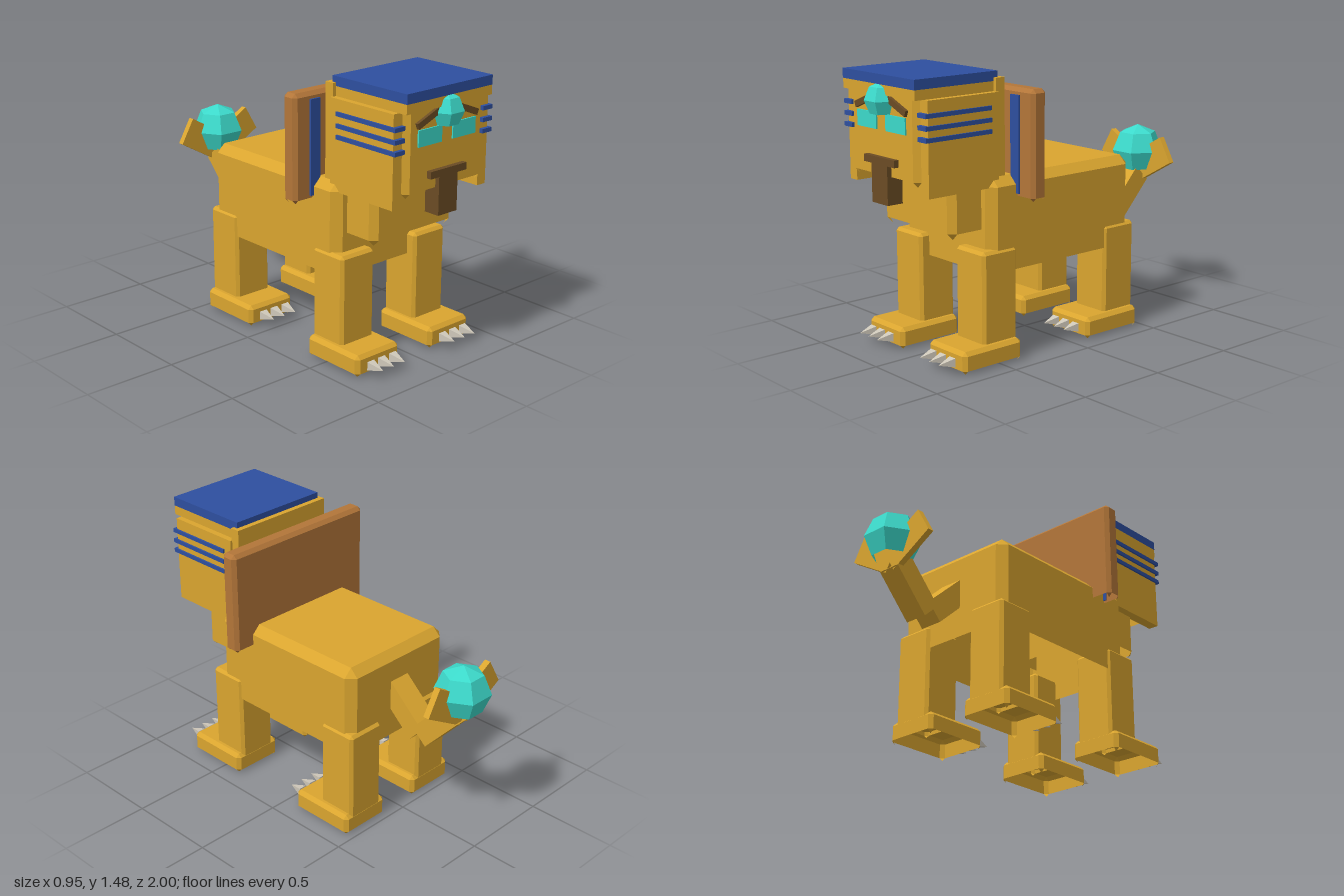
import * as THREE from 'three';

const mat = (name, color) => {
  const m = new THREE.MeshStandardMaterial({ color, side: THREE.DoubleSide, flatShading: true });
  m.name = name;
  return m;
};

// Chamfered box whose underside is open: no bottom face or bottom edge strips
function chamferBox(w, h, d, c) {
  const half = [w / 2, h / 2, d / 2];
  const pos = [];
  // Corner point lying on the face across the given axis
  const pt = (s, axis) => new THREE.Vector3(...s.map((v, i) => v * (half[i] - (i === axis ? 0 : c))));
  const tri = (a, b, e) => {
    const n = b.clone().sub(a).cross(e.clone().sub(a));
    const out = n.dot(a.clone().add(b).add(e)) > 0;
    for (const p of out ? [a, b, e] : [a, e, b]) pos.push(p.x, p.y, p.z);
  };
  const quad = (a, b, e, f) => { tri(a, b, e); tri(a, e, f); };
  const at = (i, a, j, b, k, e) => { const s = []; s[i] = a; s[j] = b; s[k] = e; return s; };
  for (let i = 0; i < 3; i++) {
    const j = (i + 1) % 3, k = (i + 2) % 3;
    for (const a of [-1, 1]) {
      // Main faces
      if (!(i === 1 && a < 0)) {
        quad(...[[-1, -1], [1, -1], [1, 1], [-1, 1]].map(([b, e]) => pt(at(i, a, j, b, k, e), i)));
      }
      // Edge strips running along axis k
      for (const b of [-1, 1]) {
        if ((i === 1 && a < 0) || (j === 1 && b < 0)) continue;
        const lo = at(i, a, j, b, k, -1), hi = at(i, a, j, b, k, 1);
        quad(pt(lo, i), pt(hi, i), pt(hi, j), pt(lo, j));
      }
    }
  }
  // Corner triangles
  for (const x of [-1, 1]) for (const y of [-1, 1]) for (const z of [-1, 1]) {
    const s = [x, y, z];
    tri(pt(s, 0), pt(s, 1), pt(s, 2));
  }
  const g = new THREE.BufferGeometry();
  g.setAttribute('position', new THREE.Float32BufferAttribute(pos, 3));
  g.computeVertexNormals();
  return g;
}

export function createModel() {
  const root = new THREE.Group();
  root.name = 'lionStatue';
  const gold = mat('gold', 0xdaa52f);
  const brown = mat('brown', 0xb37639);
  const darkBrown = mat('darkBrown', 0x6b4c24);
  const blue = mat('blue', 0x2e4f9f);
  const teal = mat('turquoise', 0x3cdacb);
  const bone = mat('bone', 0xcfc8ba);

  const add = (name, geo, m, x, y, z) => {
    const mesh = new THREE.Mesh(geo, m);
    mesh.name = name;
    mesh.position.set(x, y, z);
    root.add(mesh);
    return mesh;
  };
  // Box by its limits; a chamfer makes it an open-bottomed chamfered box
  const box = (name, m, x0, x1, y0, y1, z0, z1, c = 0) => {
    const size = [x1 - x0, y1 - y0, z1 - z0];
    const geo = c ? chamferBox(...size, c) : new THREE.BoxGeometry(...size);
    return add(name, geo, m, (x0 + x1) / 2, (y0 + y1) / 2, (z0 + z1) / 2);
  };
  // Six-sided gem without its lowest cap
  const gem = (name, r, y, z) =>
    add(name, new THREE.SphereGeometry(r, 6, 3, 0, Math.PI * 2, 0, Math.PI * 0.75), teal, 0, y, z);

  // Body, neck and head
  box('body', gold, -0.36, 0.36, 0.425, 0.955, -0.45, 0.54, 0.046);
  box('neck', gold, -0.285, 0.285, 0.655, 1.24, 0.39, 0.73, 0.035);
  box('head', gold, -0.27, 0.27, 0.948, 1.41, 0.47, 0.925, 0.028);

  // Headdress
  box('headdressBand', gold, -0.295, 0.295, 1.38, 1.43, 0.44, 0.948);
  box('headdressTop', blue, -0.295, 0.295, 1.43, 1.48, 0.44, 0.95);
  box('headdressBack', gold, -0.315, 0.315, 0.9, 1.448, 0.41, 0.465);

  // Shield behind the head
  box('shield', brown, -0.475, 0.475, 0.83, 1.395, 0.27, 0.365, 0.02);

  const claw = new THREE.ConeGeometry(0.033, 0.09, 4);
  claw.rotateY(Math.PI / 4);
  claw.rotateX(Math.PI / 2);

  for (const s of [-1, 1]) {
    const side = (name, m, a, b, ...rest) =>
      box(name, m, Math.min(s * a, s * b), Math.max(s * a, s * b), ...rest);

    // Headdress side flaps and their bars
    side('headdressFlap', gold, 0.27, 0.328, 0.905, 1.38, 0.46, 0.897);
    for (const y of [1.19, 1.247, 1.307]) {
      side('flapBar', blue, 0.272, 0.338, y - 0.011, y + 0.011, 0.51, 0.918);
    }
    // Shield stripes
    for (const x of [0.175, 0.348]) {
      side('shieldStripe', blue, x - 0.031, x + 0.031, 0.863, 1.36, 0.36, 0.376);
    }

    // Eyes and brows
    side('eye', teal, 0.038, 0.198, 1.202, 1.285, 0.928, 0.936);
    const brow = add('brow', new THREE.BoxGeometry(0.17, 0.032, 0.03), darkBrown, s * 0.128, 1.338, 0.927);
    brow.rotation.z = -s * 0.38;

    // Legs, feet and claws
    for (const back of [0.375, -0.465]) {
      side('leg', gold, 0.145, 0.37, 0.08, 0.592, back, back + 0.222, 0.016);
      side('foot', gold, 0.11, 0.407, 0, 0.117, back - 0.001, back + 0.378, 0.02);
      for (const x of [0.183, 0.26, 0.335]) add('claw', claw, bone, s * x, 0.063, back + 0.443);
    }

    // Tail fins
    const fin = add('tailFin', new THREE.BoxGeometry(0.28, 0.157, 0.034), gold, s * 0.11, 0.838, -0.867);
    fin.rotation.z = s * Math.PI / 6;
  }

  // Nose and beard
  box('nose', darkBrown, -0.125, 0.125, 1.033, 1.07, 0.9, 0.952);
  box('beard', darkBrown, -0.065, 0.065, 0.835, 1.064, 0.86, 0.95);

  // Tail
  const tailPart = (name, z0, y0, z1, y1) => {
    const len = Math.hypot(z1 - z0, y1 - y0);
    const m = add(name, new THREE.BoxGeometry(0.128, 0.118, len), gold, 0, (y0 + y1) / 2, (z0 + z1) / 2);
    m.rotation.x = -Math.atan2(y1 - y0, z1 - z0);
  };
  tailPart('tailBase', -0.4, 0.757, -0.628, 0.548);
  tailPart('tailEnd', -0.65, 0.545, -0.845, 0.755);

  // Gems on forehead and tail
  gem('foreheadGem', 0.094, 1.35, 0.918);
  gem('tailGem', 0.147, 0.88, -0.87);

  return root;
}
